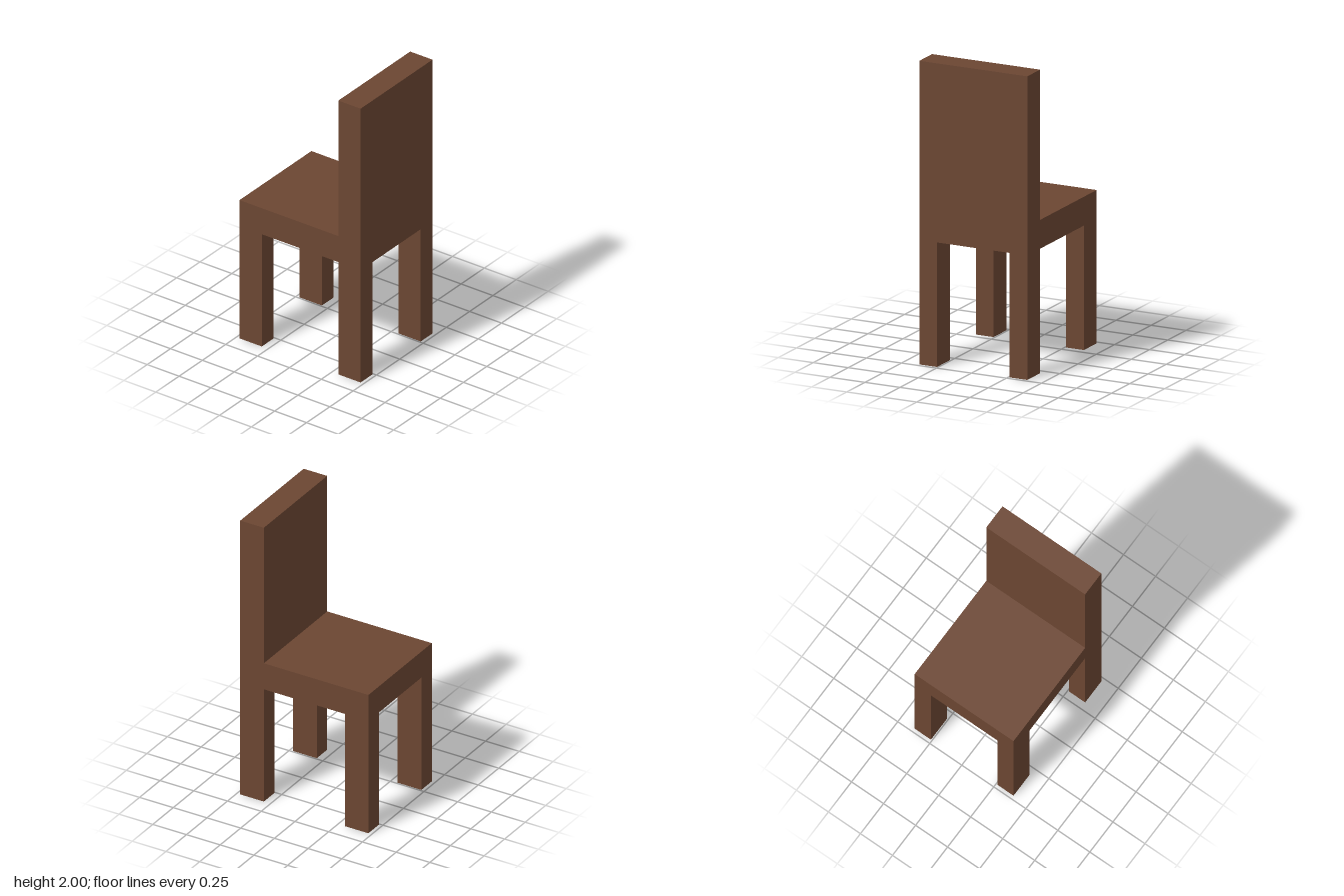
import * as THREE from 'three';

const WIDTH = 0.772, DEPTH = 0.95, HEIGHT = 2;
const SEAT_BOTTOM = 0.82, SEAT_TOP = 1.01;
const LEG_W = 0.127, LEG_D = 0.175;

export function createModel() {
  const chair = new THREE.Group();
  chair.name = 'chair';
  const wood = new THREE.MeshStandardMaterial({ color: 0x6b4632 });

  // Box given by its size, its centre in x and z, and its bottom height
  function block(name, w, h, d, x, bottom, z) {
    const mesh = new THREE.Mesh(new THREE.BoxGeometry(w, h, d), wood);
    mesh.name = name;
    mesh.position.set(x, bottom + h / 2, z);
    chair.add(mesh);
  }

  // Seat slab
  block('seat', WIDTH, SEAT_TOP - SEAT_BOTTOM, DEPTH, 0, SEAT_BOTTOM, 0);

  // Backrest standing on the +z edge of the seat
  block('backrest', WIDTH, HEIGHT - SEAT_TOP, LEG_D, 0, SEAT_TOP, (DEPTH - LEG_D) / 2);

  // Four legs flush with the seat corners
  for (const sx of [-1, 1]) {
    for (const sz of [-1, 1]) {
      const name = (sx > 0 ? 'left' : 'right') + (sz > 0 ? 'BackrestLeg' : 'SeatEdgeLeg');
      block(name, LEG_W, SEAT_BOTTOM, LEG_D, sx * (WIDTH - LEG_W) / 2, 0, sz * (DEPTH - LEG_D) / 2);
    }
  }

  return chair;
}
